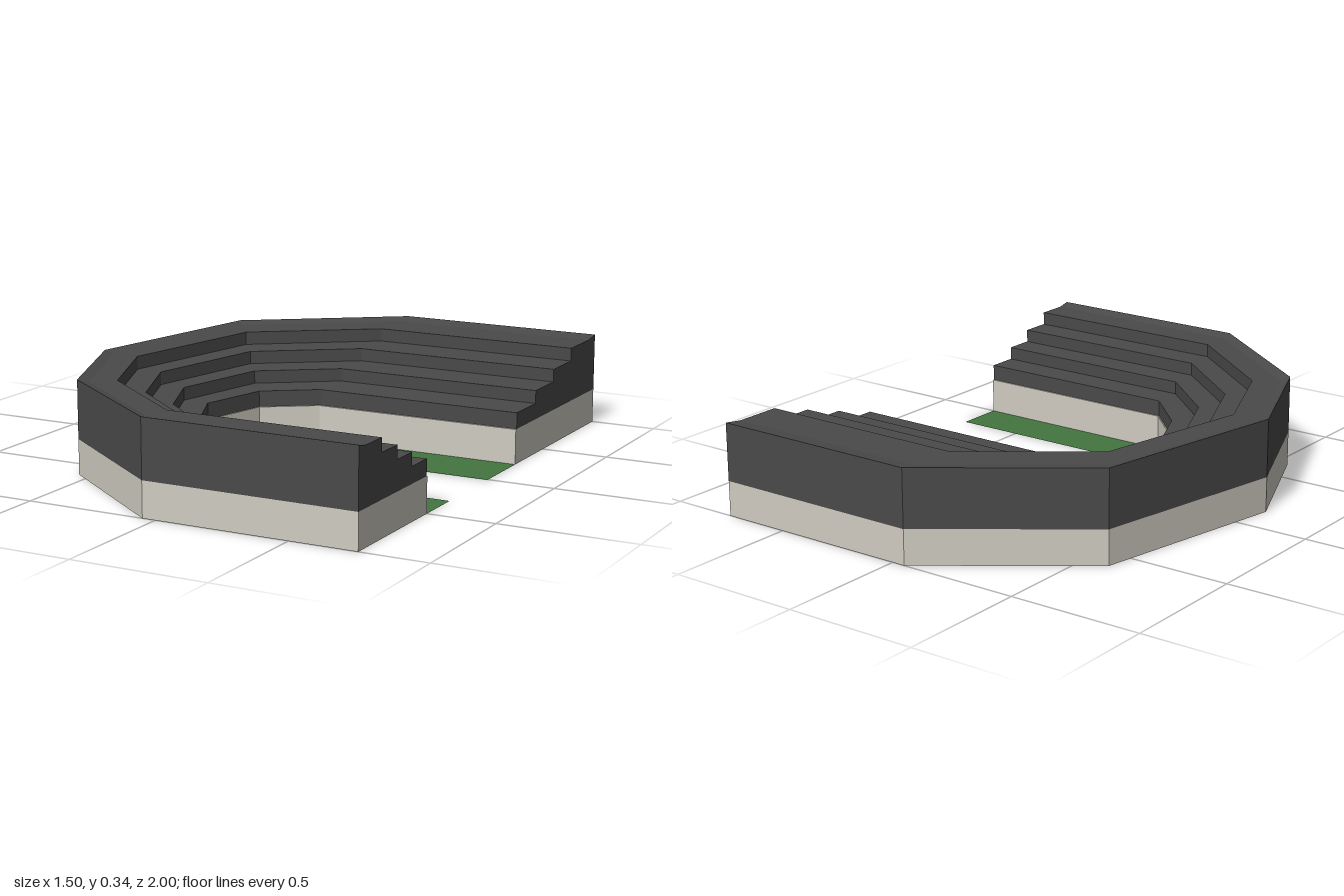
import * as THREE from 'three';

// Plan outlines [x, z], from the back arm's end round the bend to the front arm's end
const OUTER = [[0.75, -1], [-0.05, -1], [-0.6, -0.6], [-0.75, 0.15], [-0.55, 0.63], [-0.05, 1], [0.75, 1]];
const INNER = [[0.75, -0.24], [-0.05, -0.24], [-0.235, -0.11], [-0.3, 0.15], [-0.22, 0.33], [-0.05, 0.5], [0.75, 0.5]];
const FIELD = [[0.75, 0.005], [-0.05, 0.005], [-0.12, 0.05], [-0.175, 0.155], [-0.135, 0.24], [-0.05, 0.32], [0.75, 0.32]];
const BASE_H = 0.13;

// Sweeps a [t, y] profile along the bend; t runs from the inner (0) to the outer (1) outline
function sweep(inner, outer, profile, { from = 0, to = inner.length - 1, caps = false } = {}) {
  const pos = [];
  const at = (i, [t, y]) => [
    THREE.MathUtils.lerp(inner[i][0], outer[i][0], t), y,
    THREE.MathUtils.lerp(inner[i][1], outer[i][1], t),
  ];
  for (let i = from; i < to; i++) {
    for (let k = 0; k + 1 < profile.length; k++) {
      const a = at(i, profile[k]), b = at(i, profile[k + 1]);
      const c = at(i + 1, profile[k + 1]), d = at(i + 1, profile[k]);
      pos.push(...a, ...b, ...c, ...a, ...c, ...d);
    }
  }
  if (caps) {
    const pts = profile.map(([t, y]) => new THREE.Vector2(t, y));
    for (const tri of THREE.ShapeUtils.triangulateShape(pts, [])) {
      const ccw = THREE.ShapeUtils.area(tri.map((n) => pts[n])) > 0 ? tri : [...tri].reverse();
      ccw.forEach((n) => pos.push(...at(from, profile[n])));
      [...ccw].reverse().forEach((n) => pos.push(...at(to, profile[n])));
    }
  }
  const geo = new THREE.BufferGeometry();
  geo.setAttribute('position', new THREE.Float32BufferAttribute(pos, 3));
  geo.computeVertexNormals();
  return geo;
}

export function createModel() {
  const group = new THREE.Group();
  const material = (color, side = THREE.FrontSide) =>
    new THREE.MeshStandardMaterial({ color, side, flatShading: true });
  const concrete = material(0xd0ccc2);
  const seating = material(0x4a4a4a);
  const grass = material(0x43753f, THREE.DoubleSide);
  const add = (name, geo, mat) => {
    const mesh = new THREE.Mesh(geo, mat);
    mesh.name = name;
    group.add(mesh);
  };

  // Plinth walls and end faces
  add('baseWall', sweep(INNER, OUTER, [[0, 0], [0, BASE_H], [1, BASE_H], [1, 0]], { caps: true }), concrete);

  // Underside, with one dark bay at the bend
  const floor = [[1, 0], [0, 0]];
  add('baseFloorBack', sweep(INNER, OUTER, floor, { to: 2 }), concrete);
  add('baseFloorBend', sweep(INNER, OUTER, floor, { from: 2, to: 3 }), seating);
  add('baseFloorFront', sweep(INNER, OUTER, floor, { from: 3 }), concrete);

  // Four stepped tiers rising to a sloped outer rim
  const steps = [[0.01, BASE_H]];
  const starts = [0.01, 0.235, 0.455, 0.68, 0.91];
  [0.19, 0.238, 0.286, 0.335].forEach((y, i) => steps.push([starts[i], y], [starts[i + 1], y]));
  steps.push([1, 0.345], [1, BASE_H]);
  add('seatingTiers', sweep(INNER, OUTER, steps, { caps: true }), seating);

  // Thin grass strip inside the bowl
  add('grassStrip', sweep(FIELD, INNER, [[0, 0], [1, 0]]), grass);

  return group;
}
